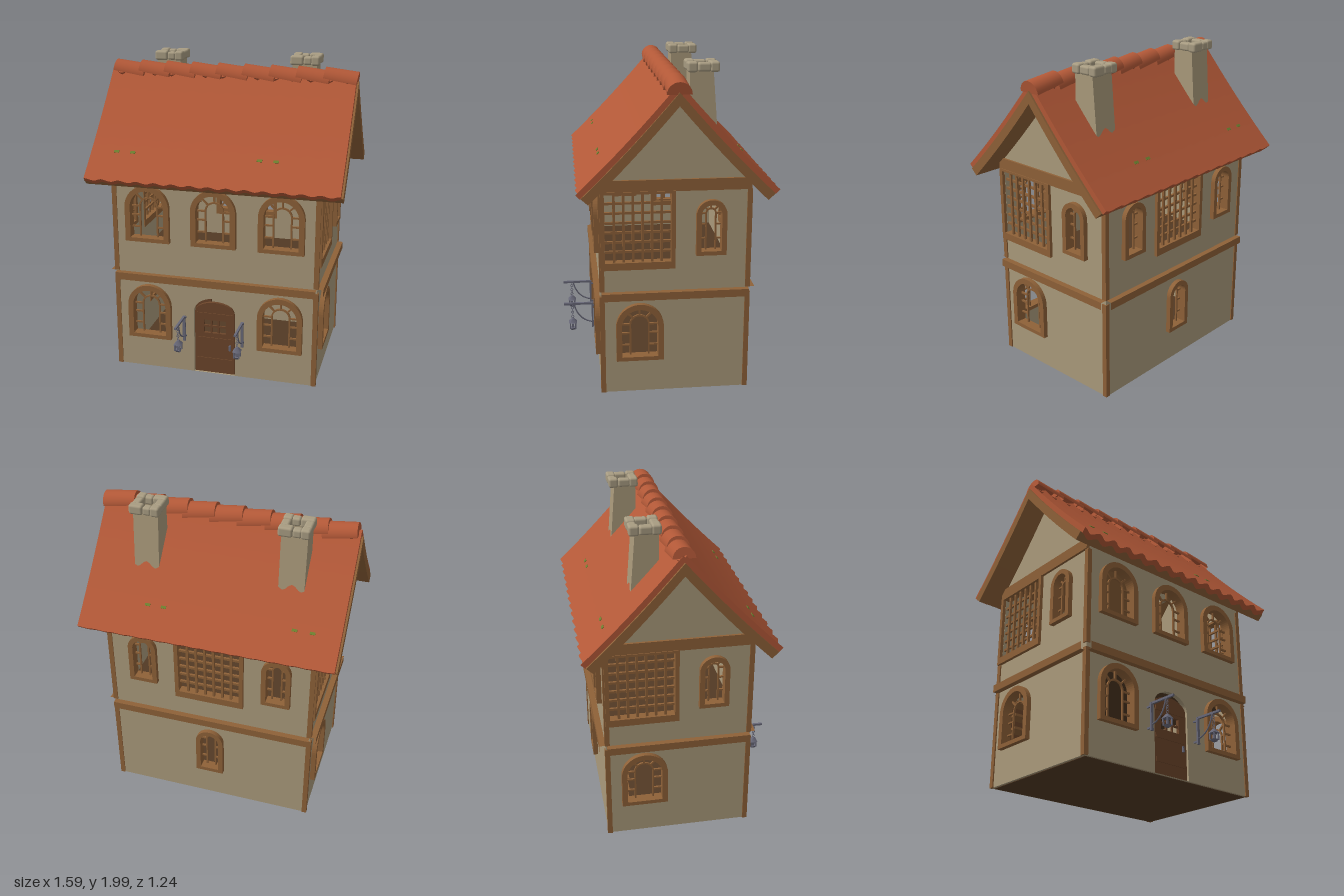
import * as THREE from 'three';
import { RoundedBoxGeometry } from 'three/addons/geometries/RoundedBoxGeometry.js';

const mat = (name, color, side = THREE.FrontSide) => {
  const m = new THREE.MeshStandardMaterial({ color, side });
  m.name = name;
  return m;
};
const M = {
  plaster: mat('plaster', 0xaa9a7b),
  wood: mat('timber', 0x8e6138),
  door: mat('darkWood', 0x6c452a),
  tile: mat('roofTile', 0xb25837, THREE.DoubleSide),
  stone: mat('chimneyStone', 0xa89c82),
  iron: mat('iron', 0x686878),
  moss: mat('moss', 0x6c8030),
  floor: mat('floorBoards', 0x523a24),
};

function add(parent, name, geo, material, x = 0, y = 0, z = 0) {
  const m = new THREE.Mesh(geo, material);
  m.name = name;
  m.position.set(x, y, z);
  parent.add(m);
  return m;
}
const box = (p, name, m, w, h, d, x, y, z) => add(p, name, new THREE.BoxGeometry(w, h, d), m, x, y, z);
const extrude = (shape, depth) =>
  new THREE.ExtrudeGeometry(shape, { depth, bevelEnabled: false, curveSegments: 14 });

// arched outline standing on y, centred on x
function arch(C, w, h, x = 0, y = 0, rise = w / 2) {
  const s = new C();
  s.moveTo(x - w / 2, y);
  s.lineTo(x + w / 2, y);
  s.lineTo(x + w / 2, y + h - rise);
  s.absellipse(x, y + h - rise, w / 2, rise, 0, Math.PI, false, 0);
  s.closePath();
  return s;
}
function rect(C, w, h, x, y) {
  const s = new C();
  s.moveTo(x - w / 2, y);
  s.lineTo(x + w / 2, y);
  s.lineTo(x + w / 2, y + h);
  s.lineTo(x - w / 2, y + h);
  s.closePath();
  return s;
}

// arched window: frame, sill, inner arch and short glazing bars
function archWindow(p, { x, y, w, h }) {
  const g = new THREE.Group();
  g.name = 'archedWindow';
  g.position.set(x, y, 0);
  p.add(g);
  const band = w > 0.2 ? 0.034 : 0.03, iw = w - 2 * band;
  const frame = arch(THREE.Shape, w, h);
  frame.holes.push(arch(THREE.Path, iw, h - band - 0.025, 0, 0.025));
  add(g, 'windowFrame', extrude(frame, 0.065), M.wood, 0, 0, -0.035);
  const bw = iw * 0.56, bh = h - band - (iw - bw) / 2 - 0.02;
  const inner = arch(THREE.Shape, bw, bh, 0, 0.02);
  inner.holes.push(arch(THREE.Path, bw - 0.02, bh - 0.01, 0, 0.02));
  add(g, 'innerArch', extrude(inner, 0.012), M.wood, 0, 0, -0.022);
  const spring = h - w / 2, len = (iw - bw) / 2 + 0.012, r = (iw + bw) / 4;
  for (const a of [0, 45, 90, 135, 180]) {
    const t = a * Math.PI / 180;
    box(g, 'radialBar', M.wood, len, 0.01, 0.012, r * Math.cos(t), spring + r * Math.sin(t), -0.016)
      .rotation.z = t;
  }
  for (const f of [0.3, 0.65]) for (const s of [-1, 1])
    box(g, 'sideBar', M.wood, len, 0.01, 0.012, s * r, spring * f + 0.02, -0.016);
}

// square lattice window
function latticeWindow(p, { x, y, w, h }) {
  const g = new THREE.Group();
  g.name = 'latticeWindow';
  g.position.set(x, y, 0);
  p.add(g);
  const frame = rect(THREE.Shape, w, h, 0, 0);
  frame.holes.push(rect(THREE.Path, w - 0.05, h - 0.06, 0, 0.045));
  add(g, 'latticeFrame', extrude(frame, 0.055), M.wood, 0, 0, -0.035);
  for (let i = 1; i < 7; i++)
    box(g, 'verticalBar', M.wood, 0.015, h - 0.05, 0.014, -w / 2 + 0.025 + (w - 0.05) * i / 7, h / 2 + 0.01, -0.002);
  for (let i = 1; i < 7; i++)
    box(g, 'crossBar', M.wood, w - 0.04, 0.014, 0.014, 0, 0.045 + (h - 0.06) * i / 7, -0.014);
}

// wall with openings; its outer face is local z = 0
function wall(p, name, w, windows, x, z, turn, gable, door) {
  const g = new THREE.Group();
  g.name = name;
  g.position.set(x, 0, z);
  g.rotation.y = turn;
  p.add(g);
  const s = new THREE.Shape();
  s.moveTo(-w / 2, 0.01);
  s.lineTo(w / 2, 0.01);
  s.lineTo(w / 2, 1.35);
  if (gable) s.lineTo(0, 1.83);
  s.lineTo(-w / 2, 1.35);
  s.closePath();
  for (const o of windows) s.holes.push(o.lattice
    ? rect(THREE.Path, o.w - 0.02, o.h - 0.02, o.x, o.y + 0.01)
    : arch(THREE.Path, o.w - 0.02, o.h - 0.02, o.x, o.y + 0.01));
  if (door) s.holes.push(arch(THREE.Path, 0.27, 0.522, 0, 0.011, 0.1));
  add(g, 'plasterWall', extrude(s, 0.03), M.plaster, 0, 0, -0.03);
  for (const o of windows) (o.lattice ? latticeWindow : archWindow)(g, o);
  // belt beam, open at both ends
  const belt = new THREE.BoxGeometry(w - 0.01, 0.047, 0.036);
  belt.setIndex([...belt.index.array].slice(12));
  belt.clearGroups();
  add(g, 'beltBeam', belt, M.wood, 0, 0.642, 0.018);
  if (gable) box(g, 'gableBeam', M.wood, w, 0.07, 0.02, 0, 1.315, 0.005);
  return g;
}

// roof height at distance d from the ridge
const roofY = (d) => 1.9 - 1.17 * d + 0.2 * d * d;

// one slope of corrugated tiles, bent from a flat slab
function slopeGeometry() {
  const geo = new THREE.BoxGeometry(1.57, 1, 1, 84, 1, 8);
  const p = geo.attributes.position;
  for (let i = 0; i < p.count; i++) {
    const d = (p.getZ(i) + 0.5) * 0.57, v = (p.getY(i) - 0.5) * 0.036;
    p.setXYZ(i, p.getX(i), roofY(d) + v * 0.7, d + v * 0.7);
  }
  geo.computeVertexNormals();
  for (let i = 0; i < p.count; i++) {
    const wave = 0.013 * Math.cos(p.getX(i) * Math.PI * 2 / 0.1121);
    p.setY(i, p.getY(i) + wave * 0.7);
    p.setZ(i, p.getZ(i) + wave * 0.7);
  }
  return geo;
}

function buildRoof(p) {
  // timber layer below the tiles, also forming the bargeboards
  const top = [], under = [];
  for (let i = -8; i <= 8; i++) {
    const d = Math.abs(i) / 8;
    top.push(new THREE.Vector2(Math.sign(i) * d * 0.55, roofY(d * 0.55) - 0.03));
    under.push(new THREE.Vector2(Math.sign(i) * d * 0.51, roofY(d * 0.51) - 0.105));
  }
  const band = extrude(new THREE.Shape([...under, ...top.reverse()]), 1.594);
  add(p, 'roofTimber', band, M.wood, -0.797, 0, 0).rotation.y = Math.PI / 2;
  for (const turn of [0, Math.PI]) {
    const g = new THREE.Group();
    g.name = 'roofSlope';
    g.rotation.y = turn;
    p.add(g);
    add(g, 'tiles', slopeGeometry(), M.tile);
    const s = turn ? -1 : 1;
    for (const x of [-0.62, -0.515, 0.28, 0.38])
      box(g, 'mossPatch', M.moss, 0.032, 0.004, 0.016, s * x, roofY(0.425) + 0.01, 0.435).rotation.x = 0.785;
  }
  // overlapping ridge tiles
  for (let i = 0; i < 9; i++) {
    const geo = new THREE.CylinderGeometry(0.064, 0.071, 0.205, 14, 1, false, -Math.PI / 2, Math.PI);
    geo.rotateX(-Math.PI / 2);
    geo.rotateY(Math.PI / 2);
    add(p, 'ridgeTile', geo, M.tile, -0.67 + i * 0.1695, 1.872, 0).rotation.z = -0.15;
  }
}

function buildChimney(p, x) {
  const g = new THREE.Group();
  g.name = 'chimney';
  g.position.set(x, 0, -0.172);
  p.add(g);
  const s = rect(THREE.Shape, 0.155, 0.155, 0, -0.0775);
  s.holes.push(rect(THREE.Path, 0.09, 0.09, 0, -0.045));
  const shaft = extrude(s, 0.4);
  shaft.rotateX(-Math.PI / 2);
  // the back of the shaft leans out towards its foot
  const v = shaft.attributes.position;
  for (let i = 0; i < v.count; i++) if (v.getZ(i) < -0.07) v.setZ(i, -0.09 + v.getY(i) * 0.08);
  shaft.computeVertexNormals();
  add(g, 'chimneyShaft', shaft, M.plaster, 0, 1.55, 0);
  // ring of uneven capping stones
  for (let k = 0; k < 4; k++) {
    const side = new THREE.Group();
    side.name = 'capSide';
    side.rotation.y = k * Math.PI / 2;
    g.add(side);
    const a = k % 2 ? 0.06 : 0.085, b = 0.138 - a;
    add(side, 'capStone', new RoundedBoxGeometry(a, 0.06, 0.056, 2, 0.014), M.stone, -0.093 + a / 2, 1.969, 0.066);
    add(side, 'capStone', new RoundedBoxGeometry(b, 0.052, 0.052, 2, 0.014), M.stone, 0.045 - b / 2, 1.968, 0.066);
  }
}

function buildDoor(p) {
  const s = arch(THREE.Shape, 0.262, 0.49, 0, 0.012, 0.075);
  s.holes.push(rect(THREE.Path, 0.145, 0.09, 0, 0.29));
  add(p, 'doorLeaf', extrude(s, 0.02), M.door, 0, 0, -0.03);
  for (const x of [-0.024, 0.024]) box(p, 'doorWindowBar', M.door, 0.012, 0.09, 0.012, x, 0.335, -0.02);
  box(p, 'doorWindowBar', M.door, 0.145, 0.012, 0.012, 0, 0.335, -0.02);
  for (const y of [0.1, 0.245, 0.415]) box(p, 'doorBatten', M.door, 0.235, 0.028, 0.006, 0, y, -0.008);
  box(p, 'doorHandle', M.iron, 0.012, 0.035, 0.012, 0.1, 0.2, -0.004);
}

function buildLantern(p, x) {
  const g = new THREE.Group();
  g.name = 'lantern';
  g.position.set(x, 0, 0);
  p.add(g);
  box(g, 'wallPlate', M.iron, 0.018, 0.17, 0.012, 0, 0.325, 0.036);
  for (const y of [0.26, 0.39]) box(g, 'wallPin', M.iron, 0.01, 0.01, 0.04, 0, y, 0.016);
  box(g, 'bracketArm', M.iron, 0.014, 0.013, 0.19, 0, 0.405, 0.125);
  const brace = new THREE.QuadraticBezierCurve3(
    new THREE.Vector3(0, 0.275, 0.035), new THREE.Vector3(0, 0.29, 0.13), new THREE.Vector3(0, 0.402, 0.155));
  add(g, 'brace', new THREE.TubeGeometry(brace, 10, 0.005, 5), M.iron);
  for (let i = 0; i < 6; i++)
    add(g, 'chainLink', new THREE.TorusGeometry(0.008, 0.0025, 4, 8), M.iron, 0, 0.392 - i * 0.015, 0.165)
      .rotation.y = i % 2 * Math.PI / 2;
  const four = (a, b, h) => new THREE.CylinderGeometry(a, b, h, 4).rotateY(Math.PI / 4);
  add(g, 'lanternCap', four(0.008, 0.036, 0.028), M.iron, 0, 0.291, 0.165);
  add(g, 'lanternBase', four(0.026, 0.016, 0.014), M.iron, 0, 0.233, 0.165);
  for (const a of [-1, 1]) for (const b of [-1, 1])
    box(g, 'lanternPost', M.iron, 0.008, 0.045, 0.008, a * 0.017, 0.258, 0.165 + b * 0.017);
  box(g, 'candle', M.iron, 0.014, 0.03, 0.014, 0, 0.25, 0.165);
}

export function createModel() {
  const root = new THREE.Group();
  root.name = 'house';
  const house = new THREE.Group();
  house.name = 'houseBody';
  house.position.z = -0.045;
  root.add(house);
  const big = (x, y) => ({ x, y, w: 0.285, h: 0.365 });
  const slim = (x, y) => ({ x, y, w: 0.18, h: 0.338 });
  const lattice = (x) => ({ x, y: 0.808, w: 0.44, h: 0.475, lattice: true });

  const front = wall(house, 'frontWall', 1.3,
    [big(-0.425, 0.225), big(0.425, 0.225), ...[-0.425, 0, 0.425].map((x) => big(x, 0.885))], 0, 0.445, 0, false, true);
  buildDoor(front);
  for (const x of [-0.19, 0.19]) buildLantern(front, x);
  wall(house, 'backWall', 1.3, [slim(-0.425, 0.885), slim(0.425, 0.885), lattice(0), slim(0, 0.225)], 0, -0.445, Math.PI);
  for (const s of [-1, 1])
    wall(house, s > 0 ? 'leftWall' : 'rightWall', 0.89,
      [big(-0.213, 0.225), lattice(-0.221), slim(0.21, 0.885)], s * 0.65, 0, s * Math.PI / 2, true);

  // corner posts
  for (const x of [-1, 1]) for (const z of [-1, 1]) {
    box(house, 'lowerPost', M.wood, 0.03, 0.63, 0.03, x * 0.643, 0.325, z * 0.436);
    box(house, 'upperPost', M.wood, 0.03, 0.61, 0.03, x * 0.643, 0.975, z * 0.436);
  }
  // floors
  box(house, 'groundFloor', M.floor, 1.27, 0.018, 0.86, 0, 0.015, 0);
  box(house, 'upperFloor', M.floor, 1.24, 0.03, 0.83, 0, 0.645, 0);
  // shelves inside, behind the front window
  for (let i = 0; i < 5; i++) box(house, 'shelf', M.wood, 0.34, 0.016, 0.1, -0.43, 0.2 + i * 0.085, -0.35);
  box(house, 'shelfBack', M.door, 0.34, 0.55, 0.015, -0.43, 0.3, -0.4);
  buildRoof(house);
  for (const x of [-0.445, 0.445]) buildChimney(house, x);
  return root;
}
